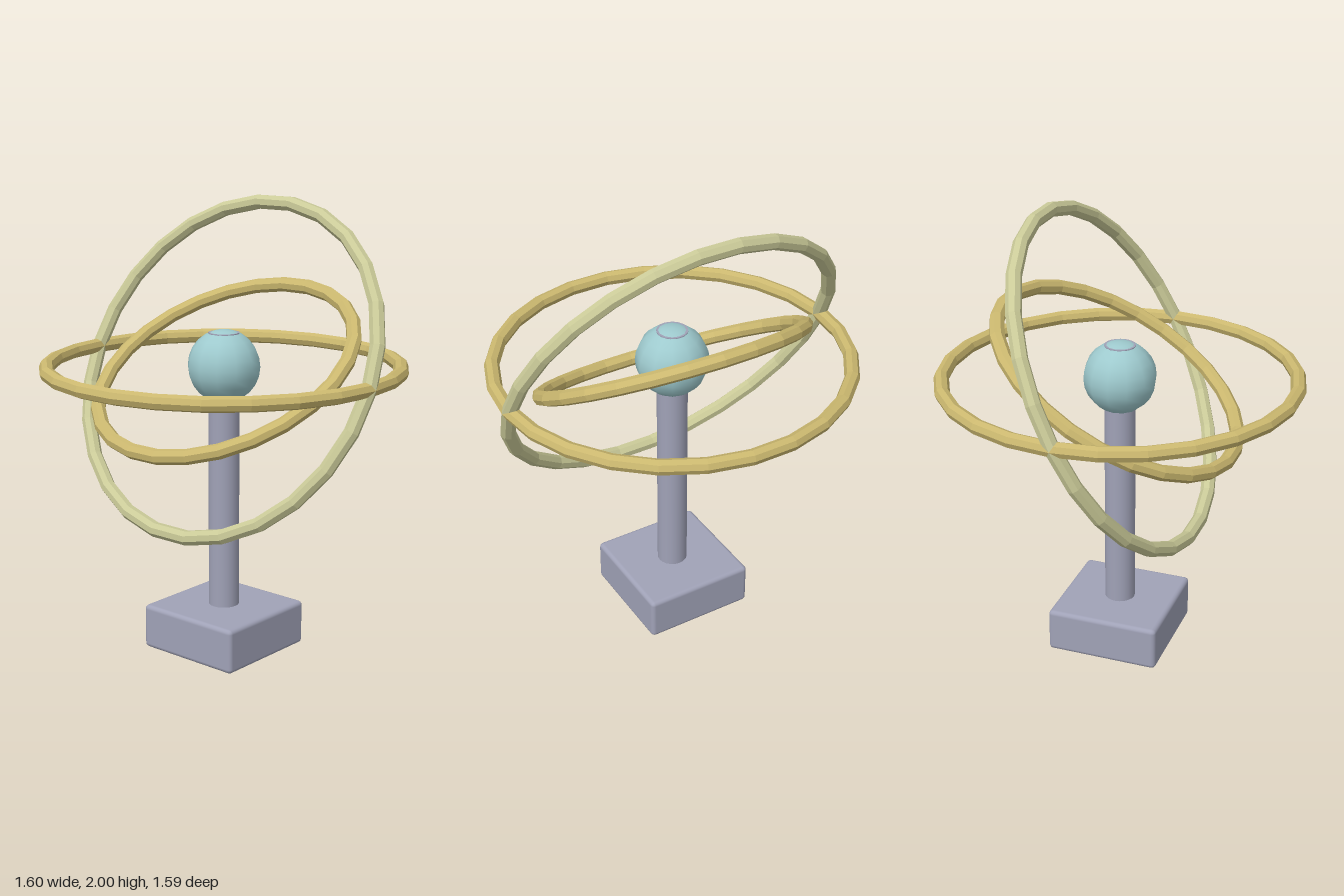
import * as THREE from 'three';
import { RoundedBoxGeometry } from 'three/addons/geometries/RoundedBoxGeometry.js';

const CENTER_Y = 1.287;

function material(name, color) {
  const m = new THREE.MeshStandardMaterial({ color });
  m.name = name;
  return m;
}

export function createModel() {
  const model = new THREE.Group();
  model.name = 'armillarySphere';

  const stone = material('lilac grey', 0xa0a2b7);
  const gold = material('gold', 0xcbb86f);
  const paleGold = material('pale gold', 0xcaca98);
  const teal = material('pale teal', 0x9ecace);

  const add = (name, geometry, mat, y) => {
    const mesh = new THREE.Mesh(geometry, mat);
    mesh.name = name;
    mesh.position.y = y;
    model.add(mesh);
    return mesh;
  };

  // Stand: bevelled block and a post that just pierces the globe's top
  add('base', new RoundedBoxGeometry(0.51, 0.2, 0.51, 2, 0.02), stone, 0.1);
  const postTop = 1.434, postBottom = 0.19;
  add('post', new THREE.CylinderGeometry(0.068, 0.068, postTop - postBottom, 20),
    stone, (postTop + postBottom) / 2);

  // Globe
  add('globe', new THREE.SphereGeometry(0.16, 12, 12), teal, CENTER_Y);

  // Rings share the left-right axis; tilt is the rise of the back edge in degrees
  const ring = (name, outerRadius, tilt, mat) => {
    const tube = 0.033;
    // Unshared corners give the tube its facets
    const geometry = new THREE.TorusGeometry(outerRadius - tube, tube, 8, 26).toNonIndexed();
    geometry.computeVertexNormals();
    const mesh = add(name, geometry, mat, CENTER_Y);
    mesh.rotation.x = THREE.MathUtils.degToRad(tilt - 90);
  };
  ring('horizonRing', 0.8, 0, gold);
  ring('innerRing', 0.62, 30.5, gold);
  ring('meridianRing', 0.8, 63, paleGold);

  return model;
}
